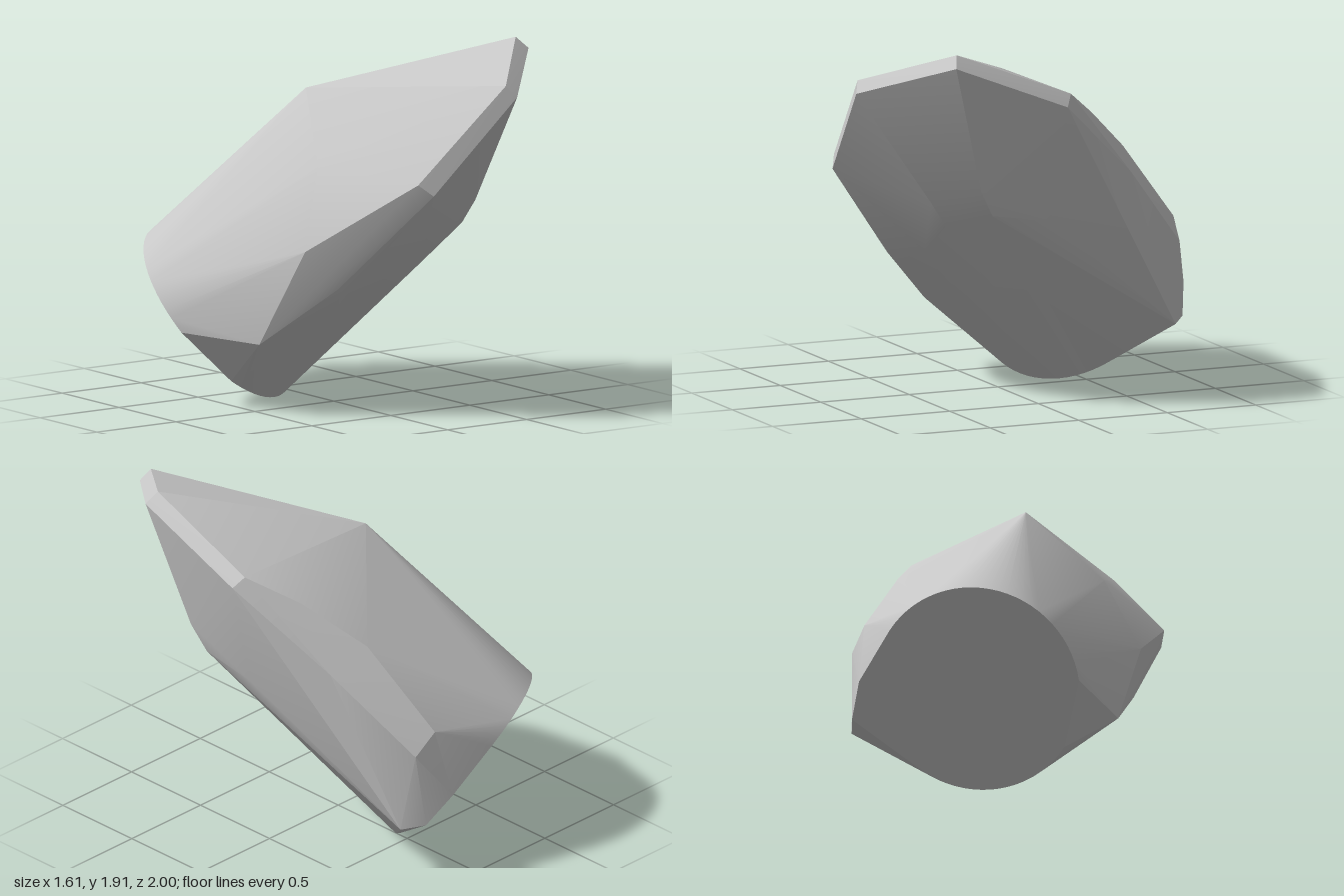
import * as THREE from 'three';
import { ConvexGeometry } from 'three/addons/geometries/ConvexGeometry.js';
import { toCreasedNormals } from 'three/addons/utils/BufferGeometryUtils.js';

const V = (x, y, z) => new THREE.Vector3(x, y, z);

// Tilted round foot of the stone, with one chipped stretch left flat
function footRim() {
  const centre = V(-0.32, 0.415, -0.585), radius = 0.54;
  const normal = V(0.42, 0.64, 0.64).normalize();
  const u = V(1, 0, 0).projectOnPlane(normal).normalize();
  const v = normal.clone().cross(u);
  const rim = [];
  for (let i = 0; i < 72; i++) {
    const a = i / 72 * Math.PI * 2;
    const p = centre.clone().addScaledVector(u, radius * Math.cos(a)).addScaledVector(v, radius * Math.sin(a));
    const chipped = p.x < -0.54 && p.y > 0.16 && p.y < 0.39;
    if (!chipped) rim.push(p);
  }
  rim.push(V(0.28, 0.35, -0.915), V(0.15, 0.5, -0.98));
  return rim;
}

export function createModel() {
  const group = new THREE.Group();
  group.name = 'stone';
  const stone = new THREE.MeshStandardMaterial({ color: 0xc8c8c8 });
  stone.name = 'stone grey';

  const points = [
    ...footRim(),
    // bevelled ridge around the top
    V(0.74, 1.91, 0.57), V(0.80, 1.85, 0.60),
    V(0.39, 1.75, 0.97), V(0.44, 1.69, 1.0),
    V(-0.10, 1.27, 0.88), V(-0.03, 1.21, 0.92),
    V(0.75, 1.66, -0.07), V(0.80, 1.60, -0.03),
    V(-0.12, 1.64, -0.08),
    // back facets
    V(0.55, 1.51, -0.28), V(0.34, 1.28, -0.55), V(0.56, 1.18, -0.50),
    V(0.20, 0.86, -0.90), V(0.32, 0.75, -0.88), V(0.38, 0.33, -0.83),
    // left flank
    V(0.64, 0.98, 0.0), V(0.635, 1.03, 0.32), V(0.67, 1.17, 0.40),
    V(0.47, 1.09, 0.59), V(0.45, 0.96, 0.50),
    // right flank
    V(-0.65, 0.44, -0.05), V(-0.58, 0.38, 0.15),
    V(-0.47, 0.89, 0.40), V(-0.31, 1.30, 0.29),
    // front underside
    V(-0.10, 0.95, 0.70), V(-0.25, 0.66, 0.47), V(-0.32, 0.69, 0.48),
    V(0.19, 0.78, 0.50), V(0.0, 0.47, 0.21),
  ];
  const body = new THREE.Mesh(toCreasedNormals(new ConvexGeometry(points), 0.33), stone);
  body.name = 'stoneBody';
  group.add(body);
  return group;
}
